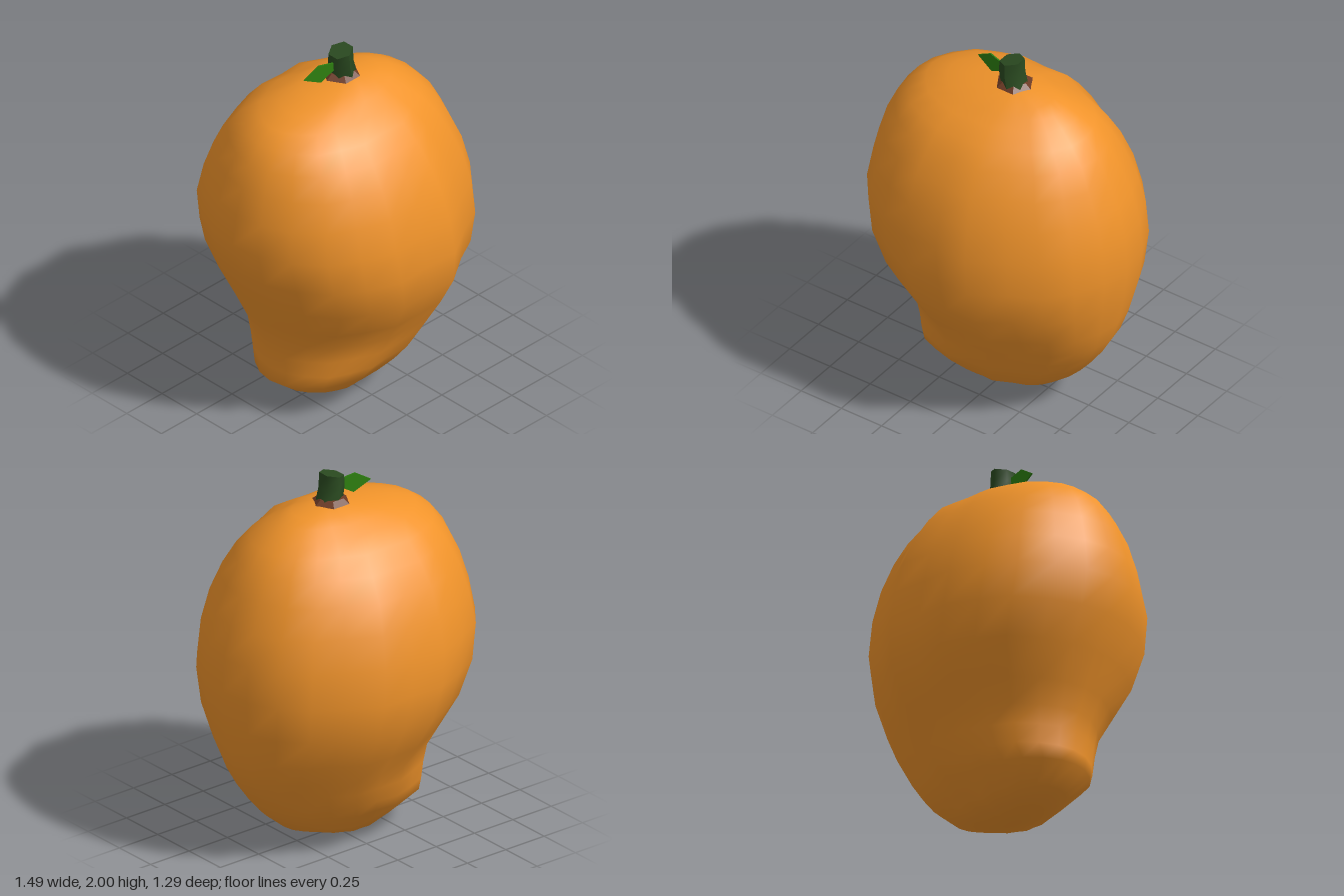
import * as THREE from 'three';

// Horizontal rings: [y, xMin, xMax, half depth, pinch of the -x side, pinch of the +x side]
const RINGS = [
  [0.012, -0.13, 0.04, 0.05, 0, 0],
  [0.04, -0.24, 0.16, 0.16, 0, 0],
  [0.1, -0.36, 0.33, 0.22, -0.05, 0.03],
  [0.2, -0.48, 0.45, 0.31, -0.08, 0.06],
  [0.28, -0.475, 0.515, 0.365, -0.04, 0.09],
  [0.38, -0.49, 0.585, 0.415, 0.07, 0.11],
  [0.48, -0.505, 0.64, 0.465, 0.12, 0.11],
  [0.6, -0.555, 0.68, 0.535, 0.09, 0.09],
  [0.78, -0.63, 0.72, 0.625, 0.03, 0.04],
  [0.97, -0.71, 0.74, 0.648, 0, 0],
  [1.16, -0.745, 0.727, 0.633, 0, 0],
  [1.33, -0.717, 0.685, 0.59, 0, 0],
  [1.48, -0.675, 0.62, 0.53, 0, 0],
  [1.6, -0.622, 0.56, 0.45, 0, 0],
  [1.69, -0.555, 0.48, 0.375, 0, 0],
  [1.75, -0.47, 0.4, 0.28, 0, 0],
  [1.79, -0.35, 0.335, 0.21, 0, 0],
  [1.82, -0.21, 0.26, 0.15, 0, 0],
  [1.84, -0.04, 0.14, 0.08, 0, 0],
];

// Soft lengthwise ribs: depth factor from +x round to -x, mirrored front to back
const RIBS = [1, 1, 1, 1, 0.95, 1.03, 0.975, 1.03, 1.015, 1.06, 1.02, 1, 1];
const SEGMENTS = 24;

// Closed smooth skin through the rings
function createBody() {
  const pos = [], index = [];
  for (const [y, x0, x1, depth, pinchL, pinchR] of RINGS) {
    for (let i = 0; i < SEGMENTS; i++) {
      const a = (i / SEGMENTS) * Math.PI * 2, c = Math.cos(a);
      const rib = RIBS[Math.min(i, SEGMENTS - i)];
      const squeeze = 1 - (c < 0 ? pinchL : pinchR) * Math.abs(c);
      pos.push((x0 + x1) / 2 + ((x1 - x0) / 2) * c, y, depth * rib * squeeze * Math.sin(a));
    }
  }
  const bottom = pos.length / 3, top = bottom + 1;
  pos.push(-0.04, 0, 0, 0.05, 1.85, 0);
  const last = (RINGS.length - 1) * SEGMENTS;
  for (let i = 0; i < SEGMENTS; i++) {
    const n = (i + 1) % SEGMENTS;
    for (let r = 0; r < last; r += SEGMENTS) {
      const a = r + i, b = r + n, c = a + SEGMENTS, d = b + SEGMENTS;
      index.push(a, c, b, b, c, d);
    }
    index.push(bottom, i, n, top, last + n, last + i);
  }
  const geo = new THREE.BufferGeometry();
  geo.setAttribute('position', new THREE.Float32BufferAttribute(pos, 3));
  geo.setIndex(index);
  geo.computeVertexNormals();
  return geo;
}

// Six-sided stem, leaning toward +x with a sloping tip
function createStem() {
  const geo = new THREE.CylinderGeometry(0.064, 0.07, 0.15, 6, 2);
  const p = geo.attributes.position;
  for (let i = 0; i < p.count; i++) {
    const t = p.getY(i) / 0.15 + 0.5, x = p.getX(i);
    p.setX(i, x + 0.04 - 0.016 * t - 0.03 * t * (1 - t));
    p.setY(i, 1.845 + 0.143 * t + 0.22 * x * t * t);
  }
  geo.computeVertexNormals();
  return geo;
}

// Thin pointed leaf
function createLeaf() {
  const shape = new THREE.Shape([
    [0, 0], [-0.03, 0.04], [-0.12, 0.055], [-0.21, 0], [-0.11, -0.05], [-0.03, -0.005],
  ].map(([x, y]) => new THREE.Vector2(x, y)));
  const geo = new THREE.ExtrudeGeometry(shape, { depth: 0.008, bevelEnabled: false });
  geo.translate(0, 0, -0.004);
  return geo;
}

export function createModel() {
  const group = new THREE.Group();
  const add = (name, geo, color, options = {}) => {
    const mesh = new THREE.Mesh(geo, new THREE.MeshStandardMaterial({ color, ...options }));
    mesh.name = name;
    group.add(mesh);
    return mesh;
  };

  add('fruitBody', createBody(), 0xf0932a);

  // Flared woody collar under the stem
  const collar = add('stemCollar', new THREE.CylinderGeometry(0.068, 0.1, 0.026, 6), 0x6b3a24, { flatShading: true });
  collar.rotation.y = Math.PI / 6;
  collar.position.set(0.035, 1.853, -0.008);

  add('stem', createStem(), 0x2a4a20);

  const leaf = add('leaf', createLeaf(), 0x2e8010, { side: THREE.DoubleSide });
  leaf.position.set(0, 1.9, 0.008);
  leaf.rotation.y = -0.18;

  return group;
}
